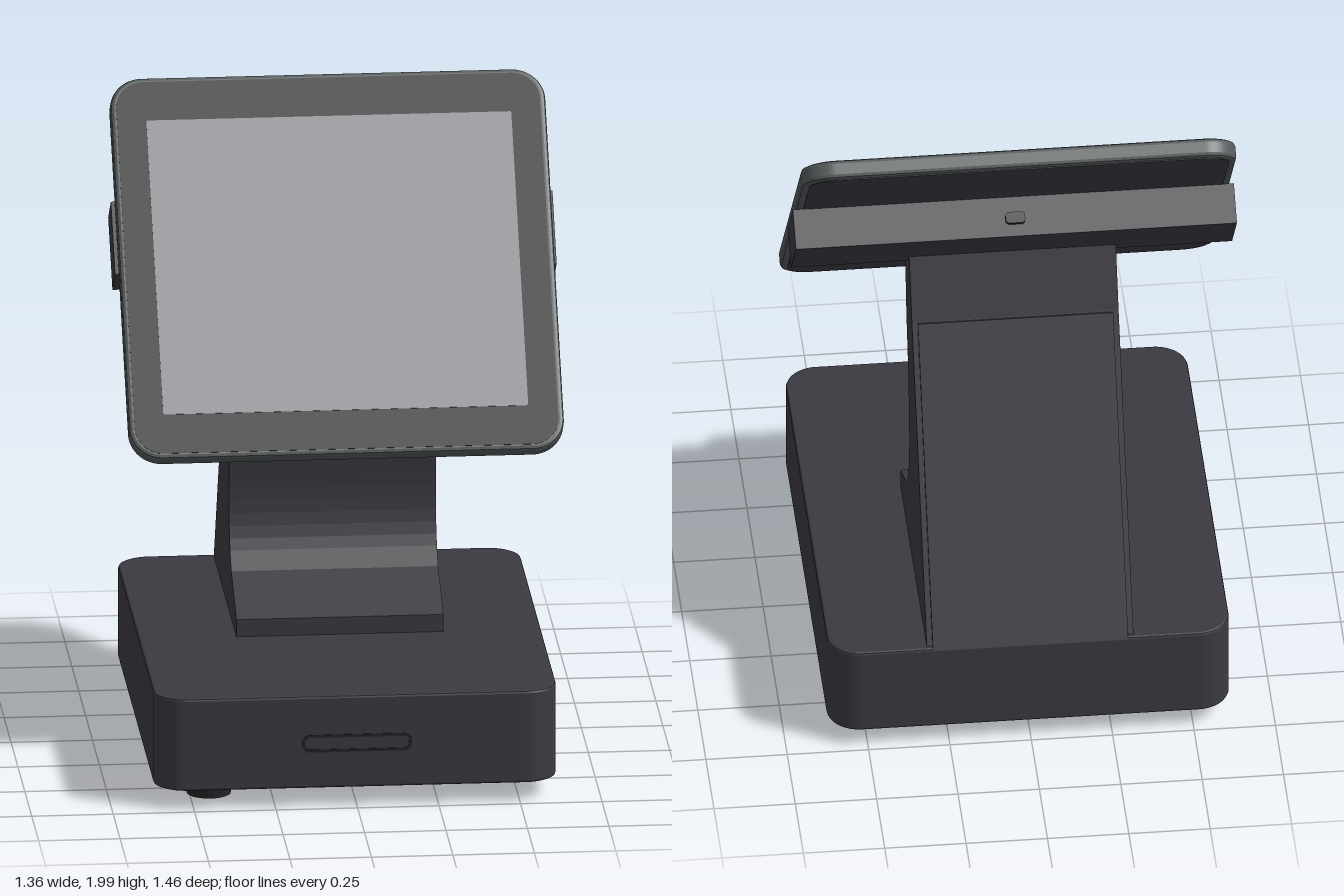
import * as THREE from 'three';

const paint = (name, color) => {
  const m = new THREE.MeshStandardMaterial({ color });
  m.name = name;
  return m;
};

// Rounded rectangle centred on the origin
function roundedRect(w, h, r, Type = THREE.Shape) {
  const s = new Type(), x = w / 2, y = h / 2;
  s.moveTo(-x + r, -y);
  s.lineTo(x - r, -y);
  s.absarc(x - r, -y + r, r, -Math.PI / 2, 0);
  s.lineTo(x, y - r);
  s.absarc(x - r, y - r, r, 0, Math.PI / 2);
  s.lineTo(-x + r, y);
  s.absarc(-x + r, y - r, r, Math.PI / 2, Math.PI);
  s.lineTo(-x, -y + r);
  s.absarc(-x + r, -y + r, r, Math.PI, Math.PI * 1.5);
  return s;
}

// Extrusion from z = 0 to z = depth, with an optional edge bevel kept inside the outline
function slab(shape, depth, bevel = 0) {
  const g = new THREE.ExtrudeGeometry(shape, {
    depth: depth - 2 * bevel, curveSegments: 8, bevelEnabled: bevel > 0,
    bevelSize: bevel, bevelOffset: -bevel, bevelThickness: bevel, bevelSegments: 2,
  });
  return g.translate(0, 0, bevel);
}

export function createModel() {
  const model = new THREE.Group();
  const body = paint('charcoal plastic', 0x3b3a40);
  const shell = paint('grey shell', 0x545a5b);
  const black = paint('black bezel', 0x0a0a0a);
  const glass = paint('screen grey', 0x8f8f95);
  const dark = paint('dark rubber', 0x232326);

  const add = (name, geometry, material, parent = model, x = 0, y = 0, z = 0) => {
    const mesh = new THREE.Mesh(geometry, material);
    mesh.name = name;
    mesh.position.set(x, y, z);
    parent.add(mesh);
    return mesh;
  };

  // Base box with rounded corners
  add('base', slab(roundedRect(1.235, 1.46, 0.1), 0.295, 0.008).rotateX(-Math.PI / 2), body, model, 0, 0.06, 0);

  // Pill outline on the front of the base
  const pill = roundedRect(0.34, 0.056, 0.027);
  pill.holes.push(roundedRect(0.32, 0.038, 0.018, THREE.Path));
  add('baseSlot', slab(pill, 0.004), dark, model, 0, 0.203, 0.728);

  // Two feet along the right side
  for (const z of [0.55, -0.55])
    add('foot', new THREE.CylinderGeometry(0.073, 0.068, 0.065, 24), dark, model, -0.44, 0.0325, z);

  // Stand: side outline drawn as (z, y), then turned to run along x
  const side = new THREE.Shape();
  side.moveTo(-0.715, 0.35);
  side.lineTo(0.11, 0.35);
  side.lineTo(0.11, 0.41);
  side.lineTo(-0.08, 0.505);
  side.bezierCurveTo(-0.15, 0.56, -0.18, 0.68, -0.165, 0.78);
  side.bezierCurveTo(-0.15, 0.95, -0.12, 1.03, -0.08, 1.15);
  side.lineTo(-0.02, 1.46);
  side.lineTo(-0.16, 1.45);
  side.lineTo(-0.25, 1.25);
  const across = (shape, width) => slab(shape, width).translate(0, 0, -width / 2).rotateY(-Math.PI / 2);
  add('stand', across(side, 0.635), body);

  // Raised cover on the sloping back of the stand
  const cover = new THREE.Shape();
  [[-0.73, 0.35], [-0.70, 0.35], [-0.24, 1.24], [-0.262, 1.25]].forEach(([z, y], i) =>
    i ? cover.lineTo(z, y) : cover.moveTo(z, y));
  add('standBackCover', across(cover, 0.6), body);

  // Cable opening outline on the front of the stand
  const port = roundedRect(0.345, 0.16, 0.035);
  port.holes.push(roundedRect(0.322, 0.137, 0.025, THREE.Path));
  add('standPort', slab(port, 0.006), dark, model, 0, 0.98, -0.134).rotation.x = 0.27;

  // Tilted display, built flat and leaned back
  const display = new THREE.Group();
  display.name = 'display';
  display.position.set(0, 1.495, -0.012);
  display.rotation.x = -0.69;
  model.add(display);
  add('displayShell', slab(roundedRect(1.335, 1.257, 0.1), 0.057, 0.012), shell, display, 0, 0, -0.0285);
  add('displayBezel', slab(roundedRect(1.3, 1.225, 0.085), 0.004), black, display, 0, 0, 0.026);
  add('screen', slab(roundedRect(1.12, 0.97, 0.004), 0.003), glass, display, 0, 0, 0.0285);
  add('displayBack', slab(roundedRect(1.29, 1.21, 0.08), 0.004), body, display, 0, 0, -0.031);

  // Reader bar across the back, with its button
  add('readerBar', new THREE.BoxGeometry(1.355, 0.24, 0.125), body, display, 0, 0.125, -0.0925);
  add('readerButton', slab(roundedRect(0.06, 0.035, 0.012), 0.025).rotateX(-Math.PI / 2), dark, display, 0, 0.24, -0.1);

  return model;
}
